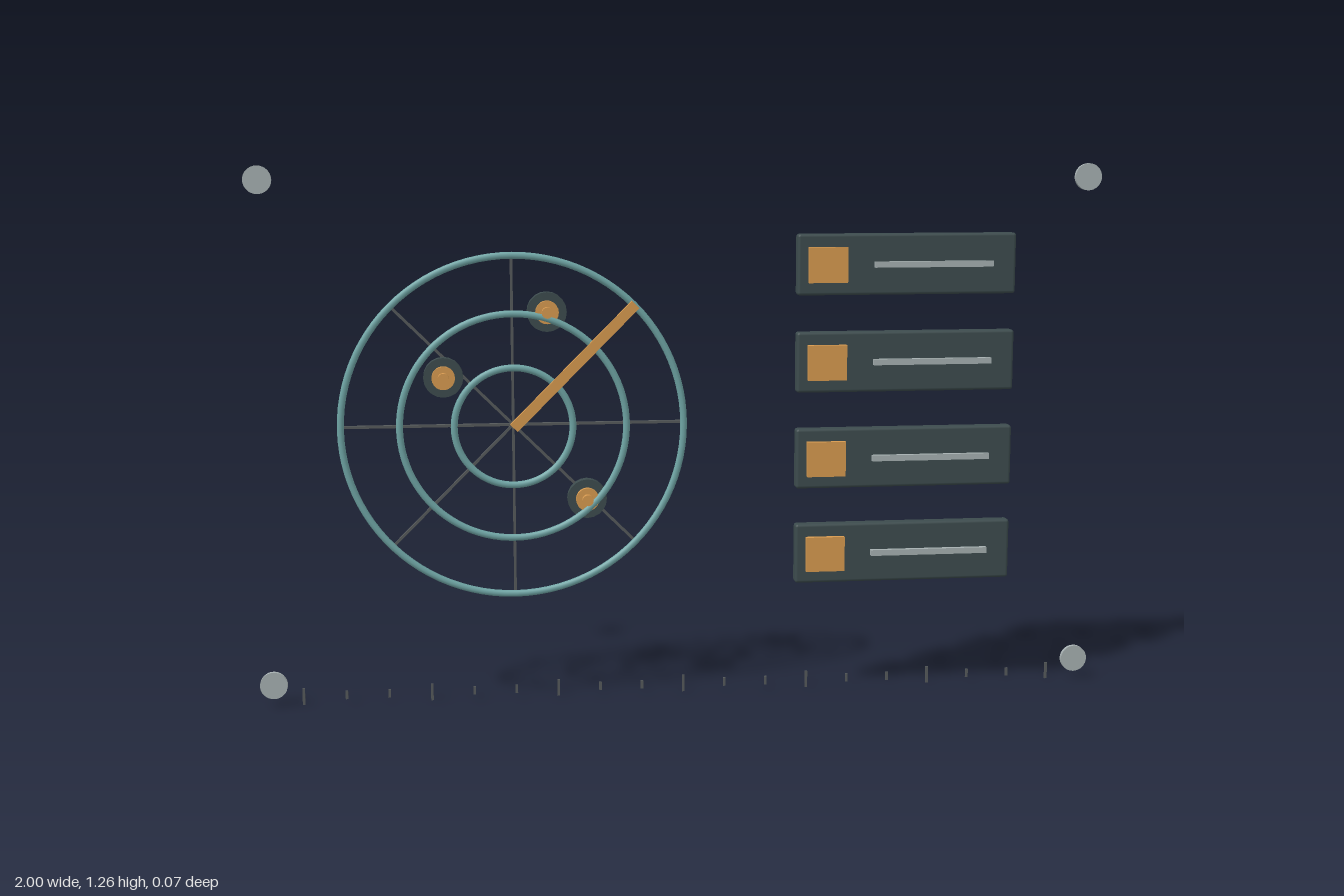
import * as THREE from 'three';
import { RoundedBoxGeometry } from 'three/addons/geometries/RoundedBoxGeometry.js';

export function createModel() {
  const model = new THREE.Group();
  model.name = 'instrumentBoard';

  const paint = (color) => new THREE.MeshStandardMaterial({ color });
  const teal = paint(0x6fa5a5);
  const dark = paint(0x3c4b4d);
  const amber = paint(0xd6994f);
  const silver = paint(0xa5afb0);
  const line = paint(0x55595a);

  const add = (parent, name, geometry, material, x, y, z) => {
    const mesh = new THREE.Mesh(geometry, material);
    mesh.name = name;
    mesh.position.set(x, y, z);
    parent.add(mesh);
    return mesh;
  };
  const group = (name, x = 0, y = 0) => {
    const g = new THREE.Group();
    g.name = name;
    g.position.set(x, y, 0);
    model.add(g);
    return g;
  };
  // Disc facing the front
  const disc = (r, depth, sides) => new THREE.CylinderGeometry(r, r, depth, sides).rotateX(Math.PI / 2);

  // Round dial: three rings, four crossing spokes and a pointer
  const dial = group('dial', -0.4, 0.704);
  for (const r of [0.396, 0.262, 0.137]) {
    add(dial, 'dialRing', new THREE.TorusGeometry(r, 0.008, 8, 96), teal, 0, 0, 0.006);
  }
  for (let i = 0; i < 4; i++) {
    const spoke = add(dial, 'dialSpoke', new THREE.BoxGeometry(0.8, 0.006, 0.01), line, 0, 0, -0.028);
    spoke.rotation.z = (i * Math.PI) / 4;
  }
  const pointer = add(dial, 'pointer', new THREE.BoxGeometry(0.4, 0.024, 0.01), amber, 0.141, 0.141, 0.027);
  pointer.rotation.z = Math.PI / 4;

  // Stepped knobs on the dial
  for (const [x, y] of [[0.08, 0.264], [-0.16, 0.115], [0.17, -0.176]]) {
    const knob = new THREE.Group();
    knob.name = 'knob';
    knob.position.set(x, y, 0);
    dial.add(knob);
    add(knob, 'knobBase', disc(0.046, 0.024, 20), dark, 0, 0, -0.016);
    add(knob, 'knobCap', disc(0.027, 0.012, 20), amber, 0, 0, 0.002);
    add(knob, 'knobTip', disc(0.013, 0.014, 16), amber, 0, 0, 0.015);
  }

  // Stack of four panels, each with a square marker and a bar
  for (let i = 0; i < 4; i++) {
    const panel = group('panel', 0.524, 1.072 - i * 0.229);
    add(panel, 'panelBody', new RoundedBoxGeometry(0.522, 0.143, 0.032, 2, 0.007), dark, 0, 0, -0.004);
    add(panel, 'panelMarker', new THREE.BoxGeometry(0.092, 0.083, 0.013), amber, -0.19, 0, 0.0185);
    add(panel, 'panelBar', new THREE.BoxGeometry(0.283, 0.014, 0.012), silver, 0.062, 0, 0.018);
  }

  // Studs at the four corners
  for (const x of [-0.968, 0.968]) {
    for (const y of [0.095, 1.272]) {
      add(model, 'cornerStud', disc(0.032, 0.01, 32), silver, x, y, -0.029);
    }
  }

  // Scale along the bottom, with every third tick longer
  const scale = group('scale', 0, 0.065);
  for (let i = 0; i < 19; i++) {
    const height = i % 3 === 0 ? 0.04 : 0.02;
    add(scale, 'tick', new THREE.BoxGeometry(0.006, height, 0.005), line, -0.9 + i * 0.1, 0, -0.032);
  }

  return model;
}
